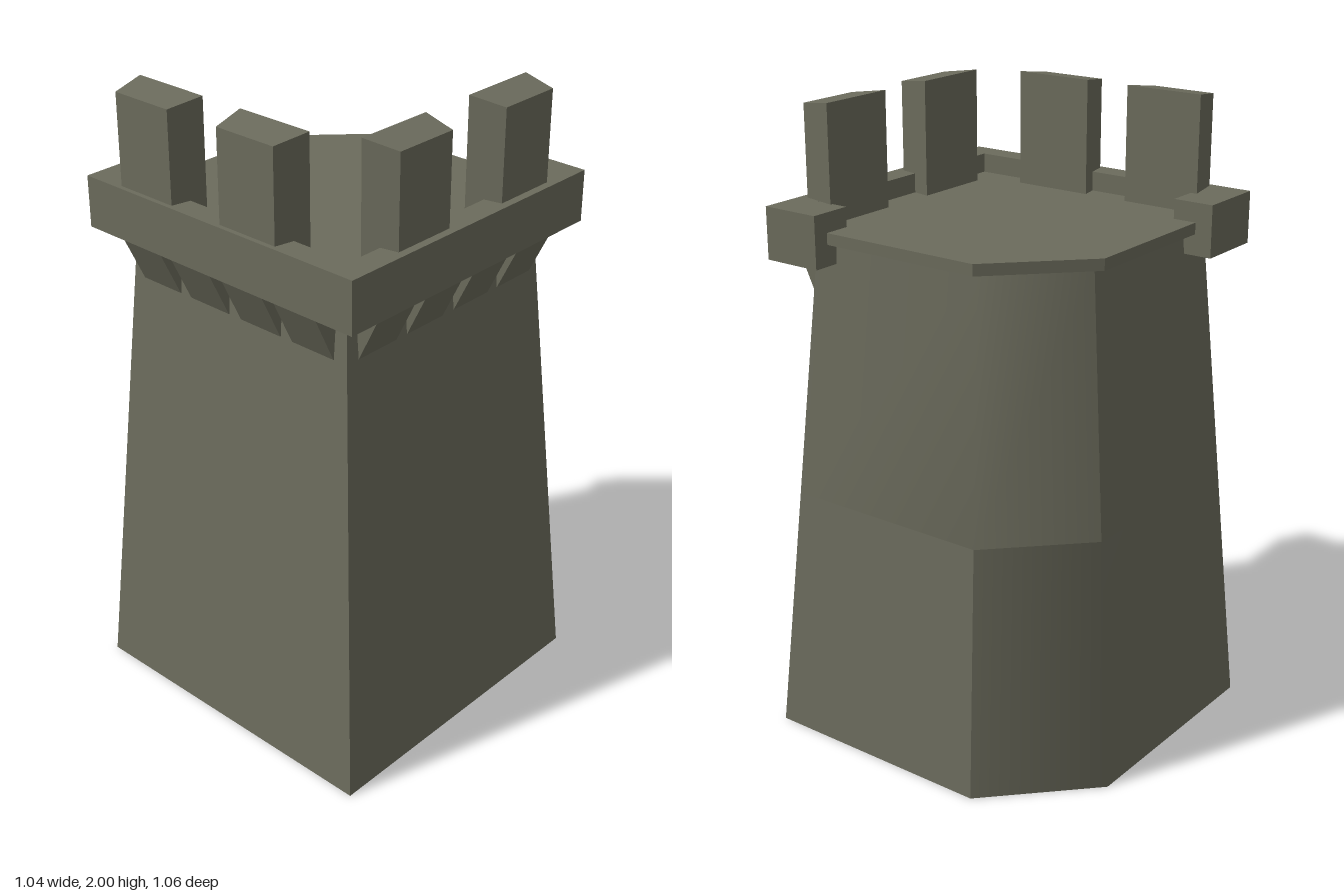
import * as THREE from 'three';
import { mergeGeometries } from 'three/addons/utils/BufferGeometryUtils.js';

const stone = new THREE.MeshStandardMaterial({ color: 0x6b6b5c, side: THREE.DoubleSide });
stone.name = 'stone';

// Plan outlines of the shaft (x, z): a square with its back left corner cut off
const FOOT = [[-0.52, 0.53], [0.52, 0.53], [0.52, -0.235], [0.22, -0.53], [-0.52, -0.53]];
const HEAD = [[-0.4, 0.4], [0.41, 0.4], [0.41, -0.19], [0.18, -0.42], [-0.4, -0.42]];
const SHAFT_HEIGHT = 1.61;

// One run of wall between two heights, smooth across the listed corners
function wallRun(corners, y0, y1) {
  const positions = [], index = [];
  for (const c of corners) {
    for (const y of [y0, y1]) {
      const t = y / SHAFT_HEIGHT;
      positions.push(
        THREE.MathUtils.lerp(FOOT[c][0], HEAD[c][0], t), y,
        THREE.MathUtils.lerp(FOOT[c][1], HEAD[c][1], t));
    }
  }
  for (let i = 0; i < corners.length - 1; i++) {
    const a = i * 2;
    index.push(a, a + 2, a + 3, a, a + 3, a + 1);
  }
  const geo = new THREE.BufferGeometry();
  geo.setAttribute('position', new THREE.Float32BufferAttribute(positions, 3));
  geo.setIndex(index);
  geo.computeVertexNormals();
  return geo;
}

// Horizontal slab from an (x, z) outline
function slab(outline, y, height) {
  const shape = new THREE.Shape(outline.map(([x, z]) => new THREE.Vector2(x, -z)));
  return new THREE.ExtrudeGeometry(shape, { depth: height, bevelEnabled: false })
    .rotateX(-Math.PI / 2).translate(0, y, 0);
}

// Box whose corners are moved by a rule
function shapedBox(w, h, d, rule) {
  const geo = new THREE.BoxGeometry(w, h, d);
  const p = geo.attributes.position, v = new THREE.Vector3();
  for (let i = 0; i < p.count; i++) {
    rule(v.fromBufferAttribute(p, i));
    p.setXYZ(i, v.x, v.y, v.z);
  }
  geo.computeVertexNormals();
  return geo;
}

export function createModel() {
  const group = new THREE.Group();
  group.name = 'watchtower';
  const add = (name, geo, parent = group) => {
    const mesh = new THREE.Mesh(geo, stone);
    mesh.name = name;
    parent.add(mesh);
    return mesh;
  };

  // Tapered shaft, open underneath
  const lower = [[0, 1], [1, 2], [2, 3, 4], [4, 0]].map(c => wallRun(c, 0, 0.8));
  const upper = [[0, 1], [1, 2, 3], [3, 4], [4, 0]].map(c => wallRun(c, 0.8, SHAFT_HEIGHT));
  add('lowerShaft', mergeGeometries(lower));
  add('upperShaft', mergeGeometries(upper));

  // Roof platform
  add('platform', slab(
    [[-0.45, 0.46], [0.45, 0.46], [0.45, -0.205], [0.19, -0.46], [-0.45, -0.46]], 1.61, 0.035));

  // Parapet along the front and right-hand sides, with a thicker block at each end
  add('parapet', slab([
    [-0.505, 0.515], [0.5, 0.515], [0.5, 0.325], [0.365, 0.325], [0.365, 0.435],
    [-0.43, 0.435], [-0.43, -0.385], [-0.285, -0.385], [-0.285, -0.515], [-0.505, -0.515],
  ], 1.545, 0.16));

  // Merlons narrow and slope down towards the outside
  const merlonGeo = shapedBox(0.255, 0.36, 0.112, v => {
    if (v.z > 0) {
      v.x *= 0.82;
      if (v.y > 0) v.y -= 0.015;
    }
  });
  // Corbels lean out from the wall to carry the parapet
  const corbelGeo = shapedBox(0.155, 0.155, 0.11, v => {
    if (v.z > 0 && v.y < 0) v.z -= 0.075;
  });

  const sides = [
    { name: 'front', turn: 0, merlons: [-0.192, 0.246], corbels: [-0.292, -0.092, 0.112, 0.312] },
    { name: 'side', turn: -Math.PI / 2, merlons: [-0.278, 0.122], corbels: [-0.312, -0.112, 0.092, 0.292] },
  ];
  for (const { name, turn, merlons, corbels } of sides) {
    const side = new THREE.Group();
    side.name = name + 'Battlements';
    side.rotation.y = turn;
    group.add(side);
    for (const x of merlons) add('merlon', merlonGeo, side).position.set(x, 1.82, 0.434);
    for (const x of corbels) add('corbel', corbelGeo, side).position.set(x, 1.4675, 0.438);
  }
  return group;
}
